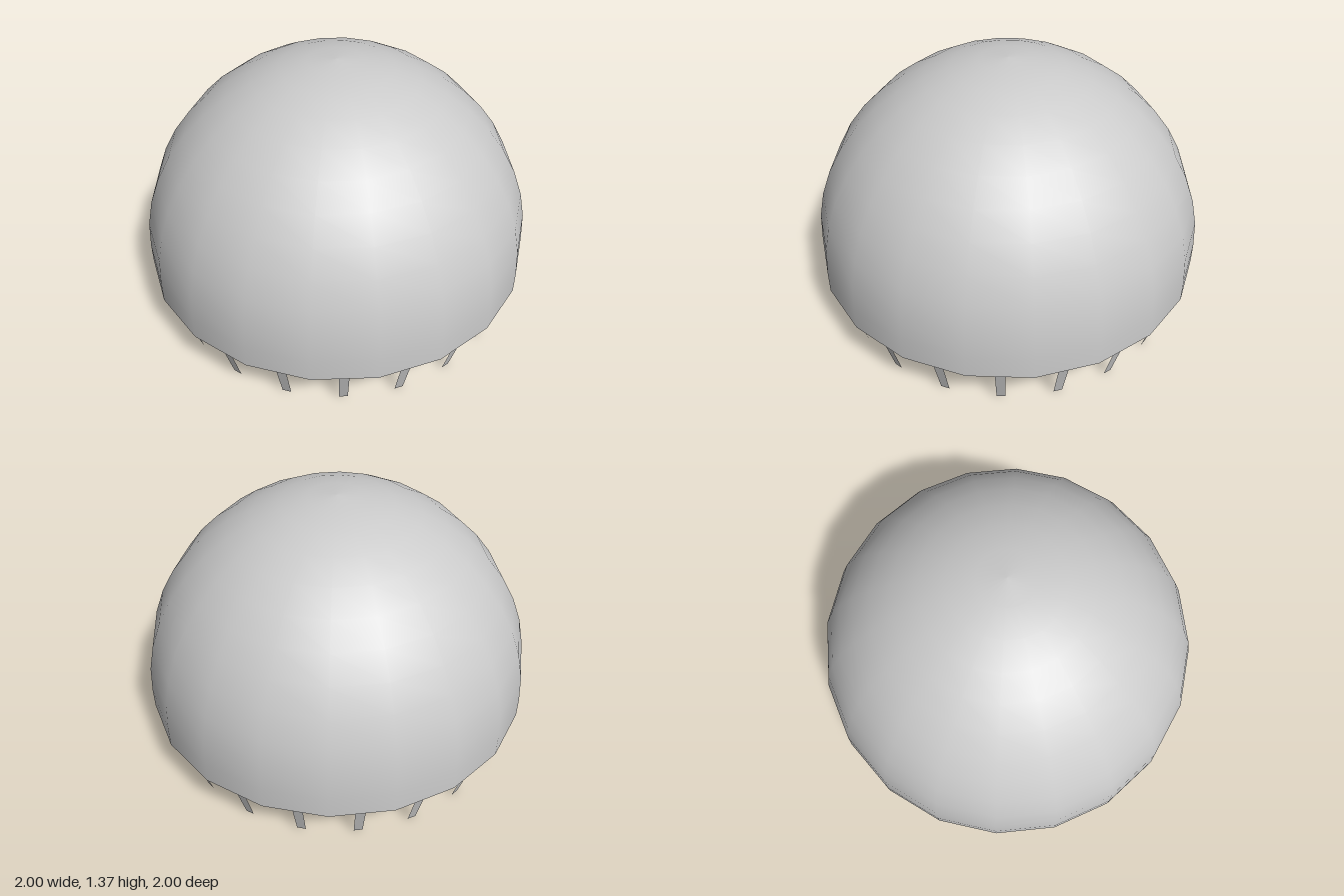
import * as THREE from 'three';

const SIDES = 20;
const RIM_Y = 0.255, CENTRE_Y = 0.365;

export function createModel() {
  const model = new THREE.Group();
  model.name = 'domeCanopy';
  const smooth = new THREE.MeshStandardMaterial({ color: 0xcccccc, side: THREE.DoubleSide });
  const flat = new THREE.MeshStandardMaterial({ color: 0xcccccc, side: THREE.DoubleSide, flatShading: true });

  // Open dome: short straight skirt, then a hemisphere, 20 sides around
  const profile = [new THREE.Vector2(1, RIM_Y)];
  const rows = 11;
  for (let i = 0; i <= rows; i++) {
    const a = (i / rows) * Math.PI / 2;
    profile.push(new THREE.Vector2(i === rows ? 0 : Math.cos(a), CENTRE_Y + Math.sin(a)));
  }
  const dome = new THREE.Mesh(new THREE.LatheGeometry(profile, SIDES), smooth);
  dome.name = 'dome';
  model.add(dome);

  // Flat four-cornered panel facing +z, between two level edges [halfWidth, y, z]
  const panel = ([w0, y0, z0], [w1, y1, z1]) => {
    const g = new THREE.BufferGeometry();
    g.setAttribute('position', new THREE.Float32BufferAttribute(
      [-w0, y0, z0, w0, y0, z0, -w1, y1, z1, w1, y1, z1], 3));
    g.setIndex([0, 2, 1, 2, 3, 1]);
    g.computeVertexNormals();
    return g;
  };

  // One inward-folded flap and hanging strap under each rim edge
  const half = Math.PI / SIDES;
  const rim = [Math.sin(half), RIM_Y, Math.cos(half)];
  const fold = [0.025, 0.21, 0.945];
  const end = [0.022, 0, 0.885];
  const flapGeometry = panel(rim, fold);
  const strapGeometry = panel(fold, end);
  for (let i = 0; i < SIDES; i++) {
    const tab = new THREE.Group();
    tab.name = `rimTab${i + 1}`;
    const flap = new THREE.Mesh(flapGeometry, flat);
    flap.name = 'flap';
    const strap = new THREE.Mesh(strapGeometry, flat);
    strap.name = 'strap';
    tab.add(flap, strap);
    tab.rotation.y = (2 * i + 1) * half;
    model.add(tab);
  }
  return model;
}
